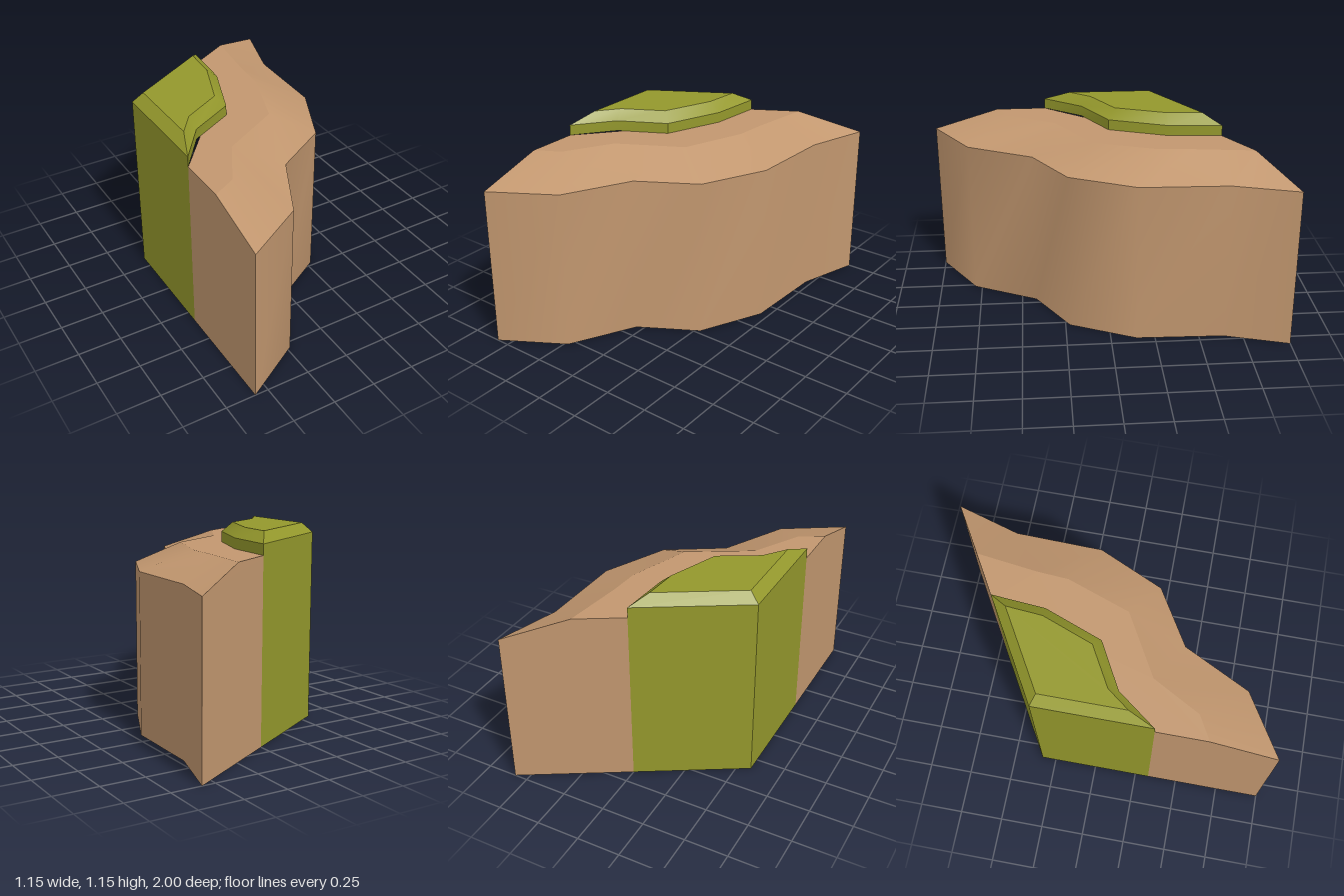
import * as THREE from 'three';
import { toCreasedNormals } from 'three/addons/utils/BufferGeometryUtils.js';

// Plan outlines as [x, z], running counter-clockwise seen from above
const LEFT_SEAM = [-0.577, 0.33], BACK_SEAM = [0, -0.667], CORNER = [-0.577, -0.333];
const CORE_TIP = [-0.166, -0.163];
const cliffFoot = [LEFT_SEAM, [-0.577, 1], [-0.23, 0.79], [-0.04, 0.415], [0.28, 0.225],
  [0.452, -0.145], [0.467, -0.64], [0.577, -1], BACK_SEAM];
const cliffRidge = [LEFT_SEAM, [-0.577, 0.62], [-0.44, 0.545], [-0.29, 0.275], [0.06, 0.08],
  [0.19, -0.28], [0.203, -0.46], [0.25, -0.811], BACK_SEAM];
const ledgeFoot = [LEFT_SEAM, [-0.41, 0.11], [-0.15, -0.03], [-0.025, -0.36], BACK_SEAM, CORNER];
const ledgeRim = [[-0.52, 0.18], [-0.425, 0.055], [-0.2, -0.07], [-0.09, -0.36],
  [-0.073, -0.565], [-0.52, -0.305]];

function geometryFrom(points) {
  const g = new THREE.BufferGeometry();
  g.setAttribute('position', new THREE.Float32BufferAttribute(points.flat(), 3));
  return toCreasedNormals(g, 0.6);
}

// Walls joining a stack of [outline, height] levels
function walls(levels, closed) {
  const points = [];
  for (let k = 0; k + 1 < levels.length; k++) {
    const [low, y0] = levels[k], [high, y1] = levels[k + 1];
    const n = low.length;
    for (let i = 0; i < (closed ? n : n - 1); i++) {
      const j = (i + 1) % n;
      const at = (p, y) => [p[0], y, p[1]];
      const a = at(low[i], y0), b = at(low[j], y0), c = at(high[j], y1), d = at(high[i], y1);
      // Skip triangles that collapse where outlines share a point
      const add = (p, q, r) => {
        const e = new THREE.Vector3(...q).sub(new THREE.Vector3(...p));
        const f = new THREE.Vector3(...r).sub(new THREE.Vector3(...p));
        if (e.cross(f).length() > 1e-7) points.push(p, q, r);
      };
      add(a, b, c);
      add(a, c, d);
    }
  }
  return geometryFrom(points);
}

// Flat face filling an outline, facing up or down
function flat(outline, y, up) {
  const contour = outline.map(([x, z]) => new THREE.Vector2(x, -z));
  const points = [];
  for (const tri of THREE.ShapeUtils.triangulateShape(contour, [])) {
    const order = up ? tri : [...tri].reverse();
    for (const i of order) points.push([outline[i][0], y, outline[i][1]]);
  }
  return geometryFrom(points);
}

export function createModel() {
  const earth = new THREE.MeshStandardMaterial({ color: 0xc2976f });
  earth.name = 'earth brown';
  const grass = new THREE.MeshStandardMaterial({ color: 0x94982c });
  grass.name = 'grass green';

  const model = new THREE.Group();
  model.name = 'cliffTile';
  const add = (name, geometry, material) => {
    const mesh = new THREE.Mesh(geometry, material);
    mesh.name = name;
    model.add(mesh);
  };

  // Earth cliff with a sloping shoulder
  add('cliffWalls', walls([[cliffFoot, 0], [cliffFoot, 0.925], [cliffRidge, 1.04]], false), earth);
  add('cliffTop', flat([...cliffRidge, CORE_TIP], 1.04, true), earth);
  add('cliffBase', flat([...cliffFoot, CORE_TIP], 0, false), earth);

  // Green core filling the rear corner
  const core = [LEFT_SEAM, CORE_TIP, BACK_SEAM, CORNER];
  add('coreWalls', walls([[core, 0], [core, 1.04]], true), grass);
  add('coreBase', flat(core, 0, false), grass);

  // Bevelled grass ledge on top
  add('ledgeSides', walls([[ledgeFoot, 1.04], [ledgeFoot, 1.1]], true), grass);
  add('ledgeBevel', walls([[ledgeFoot, 1.1], [ledgeRim, 1.155]], true), grass);
  add('ledgeTop', flat(ledgeRim, 1.155, true), grass);

  return model;
}
